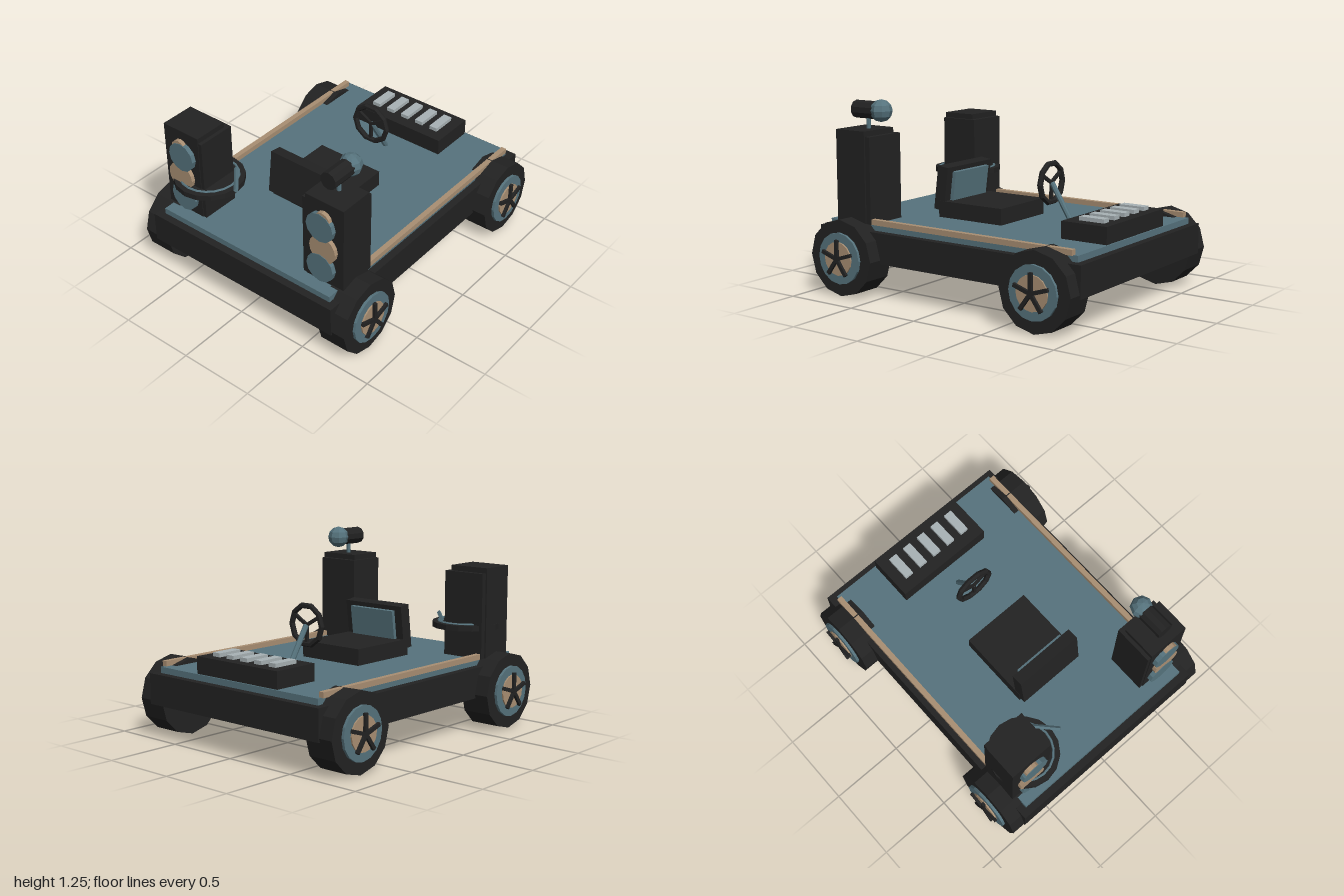
import * as THREE from 'three';

const mat = (name, color) => {
  const m = new THREE.MeshStandardMaterial({ color, flatShading: true });
  m.name = name;
  return m;
};

export function createModel() {
  const black = mat('black', 0x222222);
  const teal = mat('teal', 0x56737d);
  const tan = mat('tan', 0xa98f73);
  const grey = mat('grey', 0xa8b2b5);
  const model = new THREE.Group();
  model.name = 'cart';

  const add = (name, geo, material, x, y, z, parent = model) => {
    const mesh = new THREE.Mesh(geo, material);
    mesh.name = name;
    mesh.position.set(x, y, z);
    parent.add(mesh);
    return mesh;
  };
  // box given by its limits on each axis
  const box = (name, material, [x0, x1], [y0, y1], [z0, z1], parent) =>
    add(name, new THREE.BoxGeometry(x1 - x0, y1 - y0, z1 - z0), material,
      (x0 + x1) / 2, (y0 + y1) / 2, (z0 + z1) / 2, parent);
  // cylinders lying along x and along z
  const cylX = (r, h, n) => new THREE.CylinderGeometry(r, r, h, n).rotateZ(Math.PI / 2);
  const cylZ = (r, h, n) => new THREE.CylinderGeometry(r, r, h, n).rotateX(Math.PI / 2);
  // straight bar between two points
  const bar = (name, geoFor, material, a, b) => {
    const from = new THREE.Vector3(...a), to = new THREE.Vector3(...b);
    const dir = to.clone().sub(from), mid = from.clone().add(to).multiplyScalar(0.5);
    const mesh = add(name, geoFor(dir.length()), material, mid.x, mid.y, mid.z);
    mesh.quaternion.setFromUnitVectors(new THREE.Vector3(0, 1, 0), dir.normalize());
    return mesh;
  };

  // chassis, deck and side rails
  box('chassis', black, [-0.725, 0.725], [0.225, 0.425], [-1, 1]);
  box('deck', teal, [-0.675, 0.675], [0.425, 0.465], [-0.95, 0.95]);
  for (const s of [-1, 1]) {
    add('rail', new THREE.BoxGeometry(0.036, 0.035, 1.52), tan, s * 0.675, 0.4815, -0.16);
  }

  // wheels with layered hubs and five spokes
  for (const s of [-1, 1]) for (const z of [-0.745, 0.745]) {
    const wheel = new THREE.Group();
    wheel.name = 'wheel';
    wheel.position.set(0, 0.25, z);
    model.add(wheel);
    add('tyre', cylX(0.25, 0.2, 12), black, s * 0.72, 0, 0, wheel);
    add('rim', cylX(0.168, 0.03, 16), teal, s * 0.823, 0, 0, wheel);
    add('hub', cylX(0.11, 0.03, 16), tan, s * 0.833, 0, 0, wheel);
    for (let i = 0; i < 5; i++) {
      const geo = new THREE.BoxGeometry(0.02, 0.125, 0.024)
        .translate(0, 0.0625, 0).rotateX(i * Math.PI * 0.4);
      add('spoke', geo, black, s * 0.856, 0, 0, wheel);
    }
  }

  // seat
  box('seatCushion', black, [-0.24, 0.24], [0.465, 0.572], [-0.1, 0.4]);
  const back = new THREE.Group();
  back.name = 'seatBack';
  back.position.set(0, 0.655, 0.385);
  back.rotation.x = -0.125;
  model.add(back);
  add('backRest', new THREE.BoxGeometry(0.475, 0.29, 0.08), black, 0, 0, 0, back);
  add('backPad', new THREE.BoxGeometry(0.36, 0.21, 0.03), teal, 0, 0.01, -0.05, back);

  // steering wheel and column
  bar('steeringColumn', (l) => new THREE.CylinderGeometry(0.018, 0.018, l, 8), teal,
    [0, 0.465, -0.49], [0, 0.73, -0.325]);
  add('steeringWheel', new THREE.TorusGeometry(0.128, 0.019, 6, 10), black, 0, 0.73, -0.32);
  for (let i = 0; i < 3; i++) {
    const geo = new THREE.BoxGeometry(0.02, 0.125, 0.018)
      .translate(0, -0.0625, 0).rotateZ(i * Math.PI * 2 / 3);
    add('steeringSpoke', geo, black, 0, 0.73, -0.32);
  }

  // control panel with five keys
  box('controlPanel', black, [-0.345, 0.345], [0.465, 0.575], [-0.94, -0.62]);
  for (let i = -2; i <= 2; i++) {
    box('key', grey, [i * 0.12 - 0.03, i * 0.12 + 0.03], [0.57, 0.6], [-0.875, -0.7]);
  }

  // two signal towers, each with three lamps
  for (const s of [-1, 1]) {
    const tower = new THREE.Group();
    tower.name = 'tower';
    model.add(tower);
    add('towerBody', new THREE.BoxGeometry(0.3, 0.56, 0.265), black, s * 0.55, 0.745, 0.7225, tower);
    add('towerCap', new THREE.BoxGeometry(0.285, 0.595, 0.235), black, s * 0.5675, 0.7625, 0.7425, tower);
    add('topLampTip', cylZ(0.056, 0.03, 12), tan, s * 0.57, 0.944, 0.872, tower);
    add('topLamp', cylZ(0.1, 0.035, 12), teal, s * 0.552, 0.885, 0.873, tower);
    add('middleLamp', cylZ(0.097, 0.03, 16), tan, s * 0.57, 0.73, 0.872, tower);
    add('bottomLamp', cylZ(0.1, 0.035, 12), teal, s * 0.552, 0.585, 0.873, tower);
  }

  // turntable through the right tower, with a groove ring and arm
  add('turntable', new THREE.CylinderGeometry(0.23, 0.23, 0.036, 16), black, -0.49, 0.666, 0.715);
  add('grooveRing', new THREE.TorusGeometry(0.188, 0.008, 6, 20).rotateX(Math.PI / 2), teal,
    -0.49, 0.686, 0.715);
  bar('turntableArm', (l) => new THREE.BoxGeometry(0.022, l, 0.018), teal,
    [-0.39, 0.695, 0.575], [-0.222, 0.707, 0.76]);

  // spotlight on the left tower
  add('spotlightPost', new THREE.CylinderGeometry(0.014, 0.014, 0.1, 8), teal, 0.56, 1.1, 0.715);
  add('spotlightBody', cylZ(0.058, 0.21, 10), black, 0.56, 1.18, 0.71);
  add('spotlightBulb', new THREE.SphereGeometry(0.073, 8, 6), teal, 0.56, 1.18, 0.607);

  return model;
}
